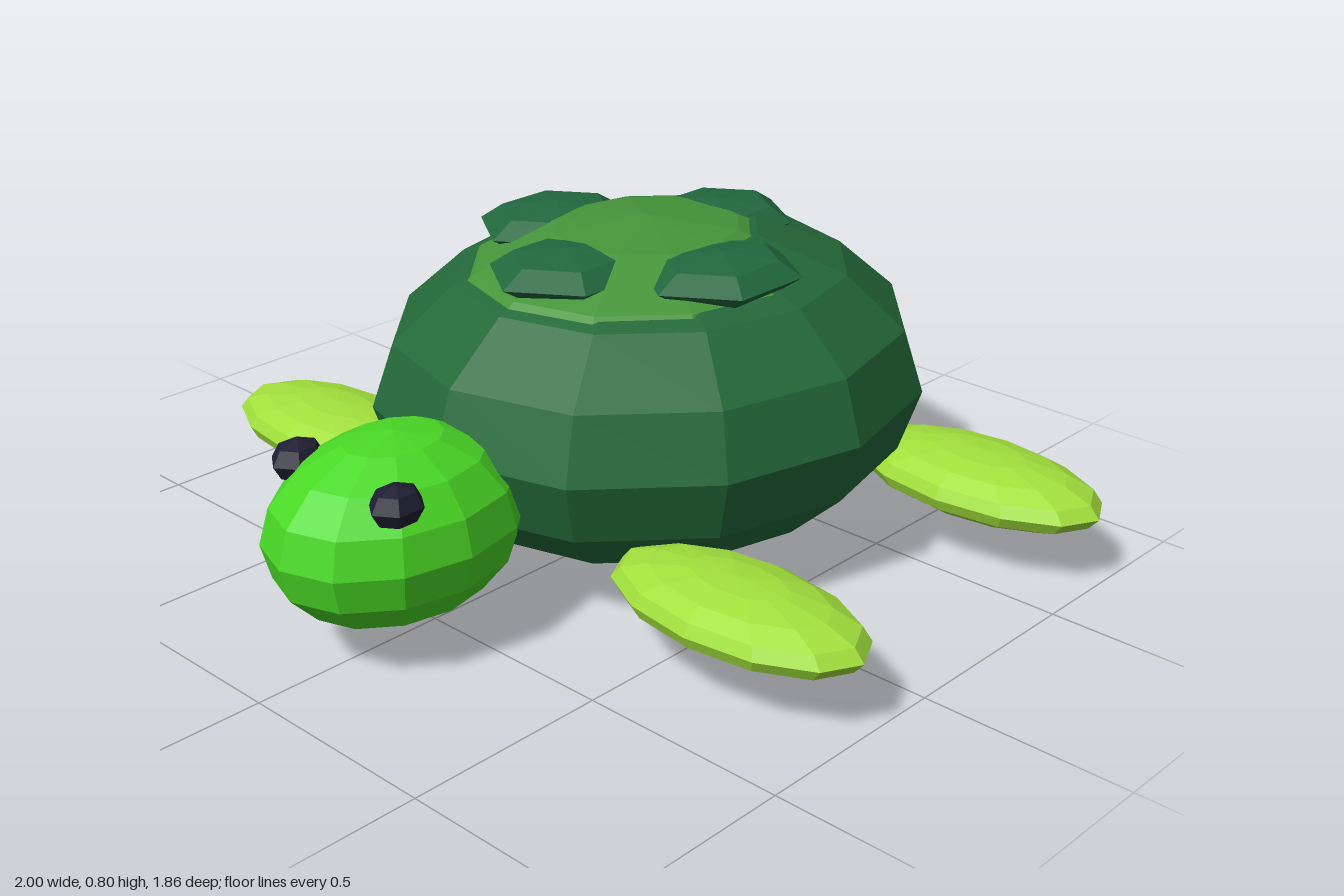
import * as THREE from 'three';

function material(name, color) {
  const m = new THREE.MeshStandardMaterial({ color, flatShading: true });
  m.name = name;
  return m;
}

// Faceted ellipsoid; vertices of the equator fall on the z axis
function ellipsoid(name, mat, center, radii, around = 12, rings = 8) {
  const geometry = new THREE.SphereGeometry(1, around, rings);
  geometry.rotateY(Math.PI / 2);
  geometry.scale(...radii);
  const mesh = new THREE.Mesh(geometry, mat);
  mesh.name = name;
  mesh.position.set(...center);
  return mesh;
}

export function createModel() {
  const shellGreen = material('shell green', 0x246a3a);
  const capGreen = material('cap green', 0x46953a);
  const scuteGreen = material('scute green', 0x22683f);
  const skinGreen = material('skin green', 0x4ad926);
  const flipperLime = material('flipper lime', 0xa2e03c);
  const eyeDark = material('eye dark', 0x1f1f33);

  const turtle = new THREE.Group();
  turtle.name = 'turtle';

  // Shell with a lighter cap rising through its top
  turtle.add(ellipsoid('shell', shellGreen, [0, 0.4, -0.22], [0.637, 0.397, 0.71]));
  turtle.add(ellipsoid('shellCap', capGreen, [0, 0.457, -0.2], [0.55, 0.35, 0.62]));

  // Four scutes around the cap
  const scutes = [
    ['frontScute', 0, 0.06], ['backScute', 0, -0.45],
    ['leftScute', 0.265, -0.16], ['rightScute', -0.265, -0.16],
  ];
  for (const [name, x, z] of scutes) {
    turtle.add(ellipsoid(name, scuteGreen, [x, 0.737, z], [0.178, 0.052, 0.21], 6, 4));
  }

  // Head
  turtle.add(ellipsoid('head', skinGreen, [0, 0.29, 0.603], [0.247, 0.22, 0.322]));

  // Eyes and flippers, mirrored
  for (const [side, s] of [['left', 1], ['right', -1]]) {
    turtle.add(ellipsoid(side + 'Eye', eyeDark, [s * 0.163, 0.432, 0.735], [0.057, 0.048, 0.068], 6, 4));
    turtle.add(ellipsoid(side + 'FrontFlipper', flipperLime, [s * 0.665, 0.182, 0.227], [0.335, 0.077, 0.175]));
    turtle.add(ellipsoid(side + 'BackFlipper', flipperLime, [s * 0.665, 0.182, -0.667], [0.335, 0.077, 0.175]));
  }
  return turtle;
}
